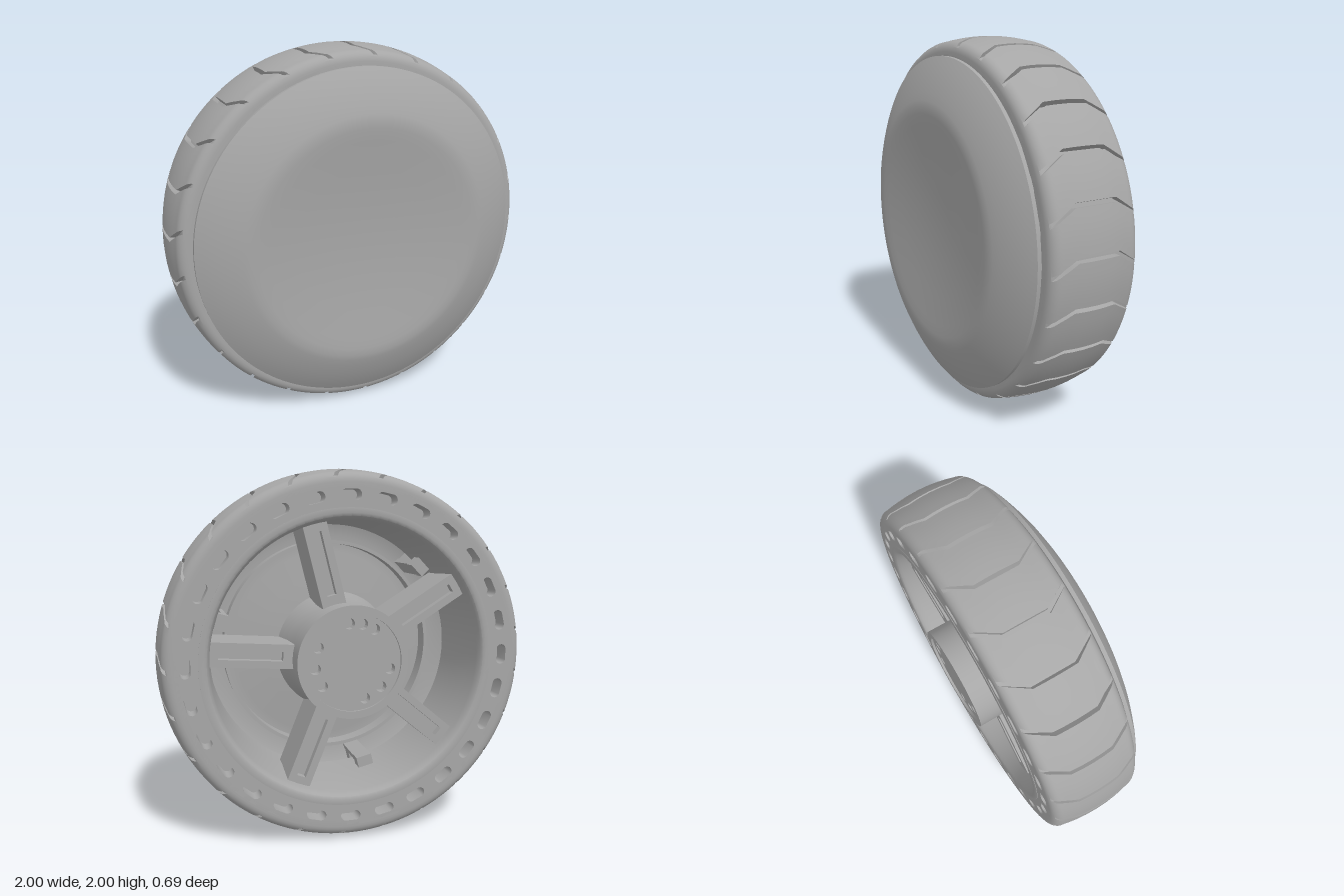
import * as THREE from 'three';
import { toCreasedNormals } from 'three/addons/utils/BufferGeometryUtils.js';

const TAU = Math.PI * 2;
const rad = (d) => d * Math.PI / 180;

// Closed or open profile of [radius, z], revolved about the wheel axis (z)
function revolve(profile, segments = 96, crease = 0.6) {
  const g = new THREE.LatheGeometry(profile.map(([r, z]) => new THREE.Vector2(r, z)), segments);
  g.rotateX(Math.PI / 2);
  return toCreasedNormals(g, crease);
}

// Capsule-shaped hole centred at a polar position, long side tangential
function capsule(radius, angle, halfLength, halfWidth) {
  const pts = [];
  for (let i = 0; i < 16; i++) {
    const a = (i + 0.5) / 16 * TAU;
    const u = Math.sin(a) * halfWidth + Math.sign(Math.sin(a)) * (halfLength - halfWidth);
    const v = radius + Math.cos(a) * halfWidth;
    pts.push(new THREE.Vector2(v * Math.cos(angle) - u * Math.sin(angle), v * Math.sin(angle) + u * Math.cos(angle)));
  }
  return new THREE.Path(pts);
}

function plate(shape, z, depth, curveSegments = 48) {
  const g = new THREE.ExtrudeGeometry(shape, { depth, bevelEnabled: false, curveSegments });
  return toCreasedNormals(g.translate(0, 0, z), 0.6);
}

// Tread skin: rounded cross-section swept around, with bent grooves cut to a floor radius
function treadGeometry() {
  const mid = -0.0425, half = 0.2475, corner = 0.055, grooves = 25, floor = 0.955;
  const side = [[0.89, -half]];
  for (let i = 0; i <= 6; i++) {
    const a = i / 6 * Math.PI / 2;
    side.push([0.923 + corner * Math.sin(a), -half + corner - corner * Math.cos(a)]);
  }
  for (const z of [0.155, 0.115, 0.06]) side.push([1 - 0.022 * (z / 0.1925) ** 2, -z]);
  const rows = [...side, [1, 0], ...side.slice().reverse().map(([r, z]) => [r, -z])];

  // Angular columns of one pitch: groove floor, wall, then the block top
  const pitch = TAU / grooves, w = 0.022;
  const columns = [[0, true], [w, true], [w + 0.001, false]];
  for (let i = 1; i <= 5; i++) columns.push([w + (pitch - w) * i / 5 - 0.001, false]);
  const n = grooves * columns.length, pos = [], index = [];
  rows.forEach(([r, z], j) => {
    const bend = -0.085 * Math.max(0, (Math.abs(z) - 0.115) / (half - 0.115));
    for (let i = 0; i < n; i++) {
      const [a, cut] = columns[i % columns.length];
      const t = rad(89) + Math.floor(i / columns.length) * pitch + a + bend;
      const R = cut ? Math.min(r, floor) : r;
      pos.push(R * Math.cos(t), R * Math.sin(t), z + mid);
      if (j < rows.length - 1) {
        const k = (i + 1) % n, p = j * n, q = p + n;
        index.push(p + i, p + k, q + k, p + i, q + k, q + i);
      }
    }
  });
  const g = new THREE.BufferGeometry();
  g.setAttribute('position', new THREE.Float32BufferAttribute(pos, 3));
  g.setIndex(index);
  return toCreasedNormals(g, 0.6);
}

export function createModel() {
  const grey = new THREE.MeshStandardMaterial({ color: 0xa6a6a6 });
  grey.name = 'grey';
  const model = new THREE.Group();
  model.name = 'wheel';
  const wheel = new THREE.Group();
  wheel.name = 'wheelAssembly';
  wheel.position.y = 1;
  model.add(wheel);
  const add = (name, geometry, parent = wheel) => {
    const m = new THREE.Mesh(geometry, grey);
    m.name = name;
    parent.add(m);
    return m;
  };

  // Tire: tread skin, slotted sidewalls and solid core
  add('tireTread', treadGeometry());
  const wall = new THREE.Shape().absarc(0, 0, 0.915, 0, TAU);
  wall.holes.push(new THREE.Path().absarc(0, 0, 0.785, 0, TAU, true));
  for (let i = 0; i < 28; i++) wall.holes.push(capsule(0.86, i / 28 * TAU, 0.055, 0.028));
  add('backSidewall', plate(wall, -0.29, 0.1));
  add('frontSidewall', plate(wall, 0.105, 0.1));
  add('tireCore', revolve([[0.78, -0.19], [0.92, -0.19], [0.92, 0.105], [0.78, 0.105]]));

  // Rim with a tapered bore and rounded lip
  add('rim', revolve([
    [0.795, -0.292], [0.795, 0.2], [0.71, 0.2], [0.715, 0], [0.735, -0.24],
    [0.742, -0.272], [0.752, -0.288], [0.768, -0.295], [0.795, -0.292],
  ]));

  // Hub barrel with a recessed, drilled end face
  add('hub', revolve([
    [0, -0.28], [0.26, -0.28], [0.26, -0.345], [0.3, -0.345], [0.3, -0.18],
    [0.308, -0.05], [0.335, 0.08], [0, 0.08],
  ]));
  const face = new THREE.Shape().absarc(0, 0, 0.262, 0, TAU);
  for (const d of [84, 104, 124, -36, -8, 24, 192, 222, 252]) {
    const a = rad(d);
    face.holes.push(new THREE.Path().absarc(0.205 * Math.cos(a), 0.205 * Math.sin(a), 0.029, 0, TAU, true));
  }
  add('hubFace', plate(face, -0.332, 0.06, 24));

  // Five deep spokes, each with a long slot in its back edge
  const top = new THREE.Shape([[0.27, -0.065], [0.735, -0.065], [0.735, 0.065], [0.27, 0.065]]
    .map(([x, y]) => new THREE.Vector2(x, y)));
  top.holes.push(new THREE.Path([[0.35, -0.025], [0.35, 0.025], [0.69, 0.025], [0.69, -0.025]]
    .map(([x, y]) => new THREE.Vector2(x, y))));
  for (let i = 0; i < 5; i++) {
    const spoke = new THREE.Group();
    spoke.name = 'spoke' + (i + 1);
    spoke.rotation.z = rad(4 + 72 * i);
    wheel.add(spoke);
    add('spokeSlottedEdge', plate(top, -0.215, 0.05), spoke);
    add('spokeWeb', new THREE.BoxGeometry(0.47, 0.13, 0.25).translate(0.505, 0, -0.045), spoke);
  }

  // Dished cover over the front, a thin shell
  add('cover', revolve([
    [0, 0.275], [0.2, 0.28], [0.4, 0.295], [0.55, 0.315], [0.65, 0.322], [0.75, 0.292],
    [0.83, 0.25], [0.86, 0.217], [0.903, 0.217], [0.903, 0.237], [0.87, 0.257], [0.83, 0.278],
    [0.78, 0.302], [0.72, 0.325], [0.68, 0.338], [0.65, 0.345], [0.61, 0.344], [0.55, 0.338],
    [0.4, 0.319], [0.2, 0.304], [0, 0.299],
  ], 128));
  add('coverRib', revolve([
    [0.6, 0.33], [0.6, 0.225], [0.62, 0.225], [0.62, 0.33],
  ].map(([r, z]) => [r, z])));

  // Three clips that hold the cover to the rim
  for (let i = 0; i < 3; i++) {
    const clip = new THREE.Group();
    clip.name = 'coverClip' + (i + 1);
    clip.rotation.z = rad(16 + 120 * i);
    wheel.add(clip);
    add('clipArm', new THREE.BoxGeometry(0.03, 0.09, 0.29).translate(0.665, 0, 0.175), clip);
    add('clipHead', new THREE.BoxGeometry(0.06, 0.09, 0.08).translate(0.675, 0, 0.04), clip);
    add('clipBase', new THREE.BoxGeometry(0.1, 0.09, 0.08).translate(0.7, 0, 0.25), clip);
  }
  return model;
}
